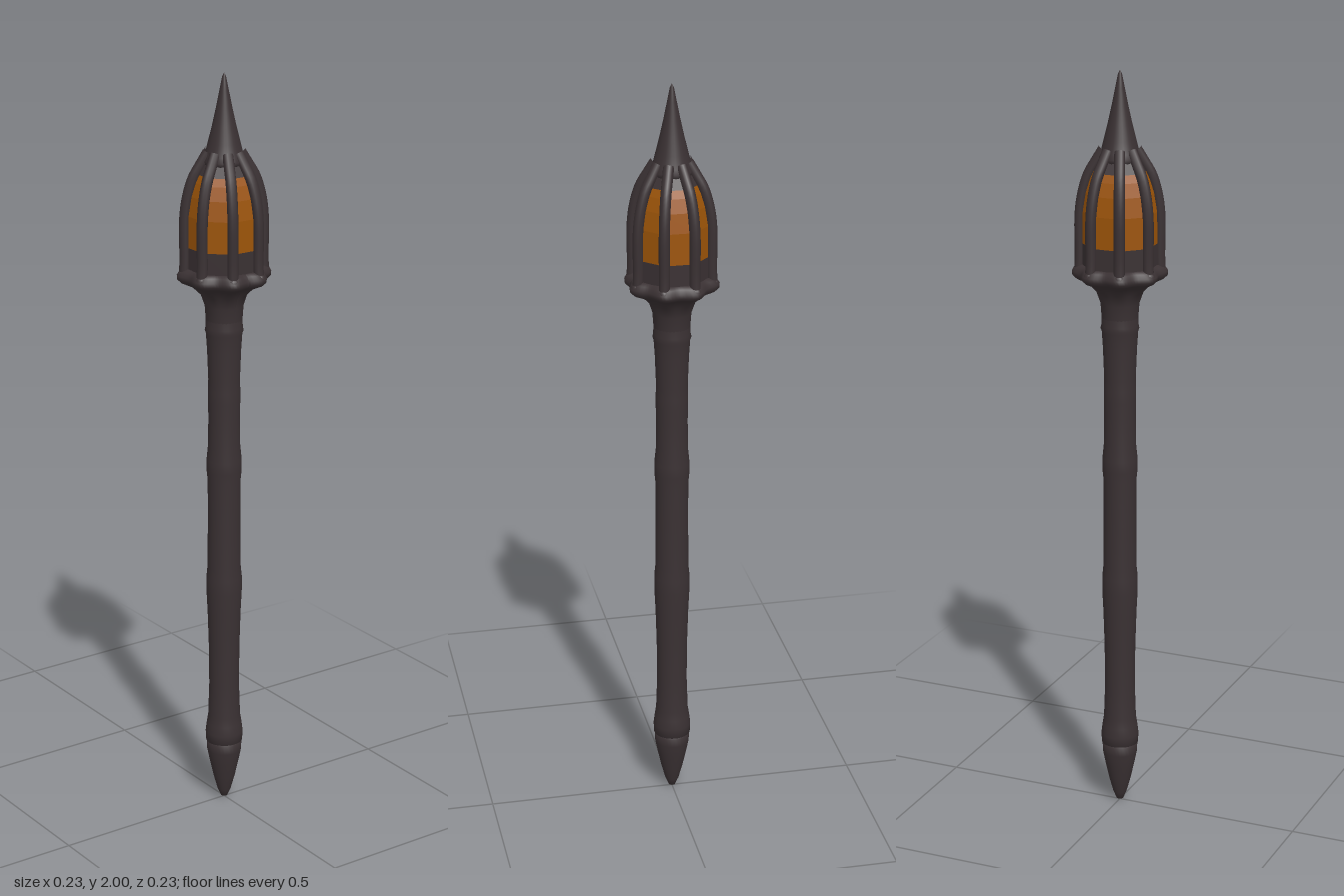
import * as THREE from 'three';

const iron = new THREE.MeshStandardMaterial({ color: 0x3a3133 });
iron.name = 'dark iron';
const amber = new THREE.MeshStandardMaterial({ color: 0x9c5408 });
amber.name = 'amber glass';

const SIDES = 8;

// Lathe from [radius, y] pairs listed bottom to top
function lathe(name, profile, material = iron, segments = 32, start = 0) {
  const points = profile.map(([r, y]) => new THREE.Vector2(r, y));
  const mesh = new THREE.Mesh(new THREE.LatheGeometry(points, segments, start), material);
  mesh.name = name;
  return mesh;
}

// Eight-sided lathe with flat faces, corners behind the ribs
function octagon(name, profile, material) {
  const mesh = lathe(name, profile, material, SIDES, Math.PI / SIDES);
  mesh.geometry = mesh.geometry.toNonIndexed();
  mesh.geometry.computeVertexNormals();
  return mesh;
}

// Lobed collar: radius swells at each rib, fading out toward the neck
function lobedCollar() {
  const mesh = lathe('collar', [
    [0.047, 1.36], [0.05, 1.4], [0.06, 1.43], [0.08, 1.452], [0.106, 1.465],
    [0.115, 1.474], [0.116, 1.485], [0.108, 1.496], [0.097, 1.502], [0.08, 1.504],
  ], iron, 96);
  const p = mesh.geometry.attributes.position;
  for (let i = 0; i < p.count; i++) {
    const x = p.getX(i), z = p.getZ(i), r = Math.hypot(x, z);
    const lobe = -Math.cos(SIDES * Math.atan2(x, z));
    const k = 1 + 0.06 * lobe * THREE.MathUtils.smoothstep(r, 0.045, 0.1);
    p.setXYZ(i, x * k, p.getY(i), z * k);
  }
  mesh.geometry.computeVertexNormals();
  return mesh;
}

export function createModel() {
  const model = new THREE.Group();
  model.name = 'torchStaff';

  // Pointed foot
  model.add(lathe('footSpike', [
    [0, 0], [0.009, 0.004], [0.018, 0.025], [0.029, 0.065], [0.039, 0.11],
    [0.046, 0.145], [0.047, 0.168], [0.038, 0.174],
  ]));

  // Shaft with gentle swellings
  model.add(lathe('shaft', [
    [0.038, 0.17], [0.049, 0.174], [0.05, 0.2], [0.047, 0.225], [0.043, 0.25], [0.04, 0.34],
    [0.041, 0.45], [0.044, 0.55], [0.047, 0.61], [0.047, 0.65], [0.044, 0.68], [0.043, 0.8],
    [0.043, 0.92], [0.046, 0.95], [0.046, 0.98], [0.042, 1.02], [0.041, 1.1], [0.042, 1.14],
    [0.042, 1.17], [0.041, 1.2], [0.044, 1.28], [0.047, 1.325], [0.05, 1.333], [0.048, 1.342],
    [0.047, 1.37],
  ]));

  model.add(lobedCollar());

  // Lantern walls: iron sill, amber panes, iron crown
  model.add(octagon('lanternSill', [[0.1, 1.49], [0.1, 1.558]], iron));
  model.add(octagon('lanternPanes', [
    [0.1, 1.558], [0.099, 1.64], [0.091, 1.69], [0.08, 1.725], [0.071, 1.745],
  ], amber));
  model.add(octagon('lanternCrown', [[0.071, 1.745], [0.05, 1.785], [0.03, 1.8]], iron));

  // Curved ribs over the pane corners
  const path = new THREE.CatmullRomCurve3([
    [0.104, 1.48], [0.102, 1.52], [0.102, 1.63], [0.095, 1.685],
    [0.08, 1.735], [0.06, 1.77], [0.042, 1.80],
  ].map(([r, y]) => new THREE.Vector3(0, y, r)));
  const ribGeometry = new THREE.TubeGeometry(path, 24, 0.014, 10);
  const footGeometry = new THREE.SphereGeometry(0.017, 14, 10);
  for (let i = 0; i < SIDES; i++) {
    const rib = new THREE.Group();
    rib.name = 'rib';
    rib.rotation.y = ((i + 0.5) / SIDES) * Math.PI * 2;
    const bar = new THREE.Mesh(ribGeometry, iron);
    bar.name = 'ribBar';
    const foot = new THREE.Mesh(footGeometry, iron);
    foot.name = 'ribFoot';
    foot.position.set(0, 1.483, 0.105);
    rib.add(bar, foot);
    model.add(rib);
  }

  // Spire
  model.add(lathe('spire', [
    [0.03, 1.762], [0.053, 1.768], [0.055, 1.78], [0.049, 1.793], [0.041, 1.825],
    [0.031, 1.865], [0.021, 1.91], [0.012, 1.955], [0.005, 1.99], [0, 2],
  ]));

  return model;
}
